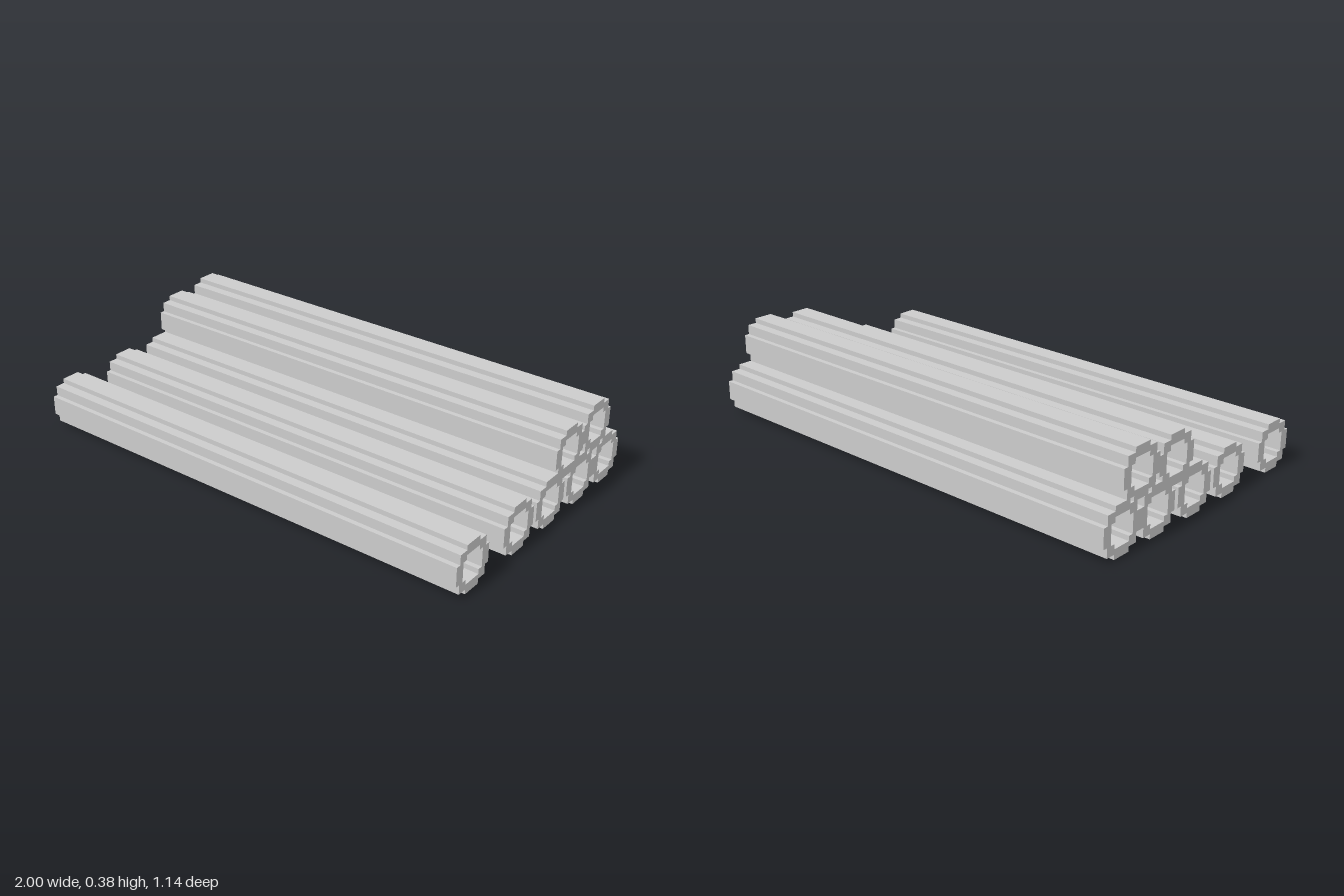
import * as THREE from 'three';

const LENGTH = 2;

// Stepped ring outline: list one quadrant, then rotate it four times.
function steppedOutline(quadrant) {
  const points = [];
  for (let i = 0; i < 4; i++) {
    for (const [x, y] of quadrant) {
      points.push(new THREE.Vector2(x, y));
    }
    quadrant = quadrant.map(([x, y]) => [-y, x]);
  }
  return points;
}

function pipeGeometry() {
  const profile = new THREE.Shape(
    steppedOutline([[0.1, -0.04], [0.1, 0.04], [0.08, 0.04], [0.08, 0.08], [0.04, 0.08], [0.04, 0.1]].slice(1))
  );
  profile.holes.push(new THREE.Path(steppedOutline([[0.06, 0.04], [0.04, 0.04], [0.04, 0.06]])));
  const geometry = new THREE.ExtrudeGeometry(profile, { depth: LENGTH, bevelEnabled: false });
  geometry.translate(0, 0, -LENGTH / 2);
  geometry.rotateY(Math.PI / 2); // lay the pipe along x
  return geometry;
}

export function createModel() {
  const group = new THREE.Group();
  group.name = 'pipeStack';
  const material = new THREE.MeshStandardMaterial({ color: 0xcccccc, flatShading: true });
  const geometry = pipeGeometry();

  const addPipe = (name, y, z) => {
    const pipe = new THREE.Mesh(geometry, material);
    pipe.name = name;
    pipe.position.set(0, y, z);
    group.add(pipe);
  };

  // Pipes lying on the ground, front to back
  [0.47, 0.17, -0.05, -0.27, -0.47].forEach((z, i) => addPipe(`groundPipe${i + 1}`, 0.1, z));

  // Pipes stacked on top
  addPipe('upperPipe1', 0.26, -0.17);
  addPipe('upperPipe2', 0.28, -0.37);

  return group;
}
